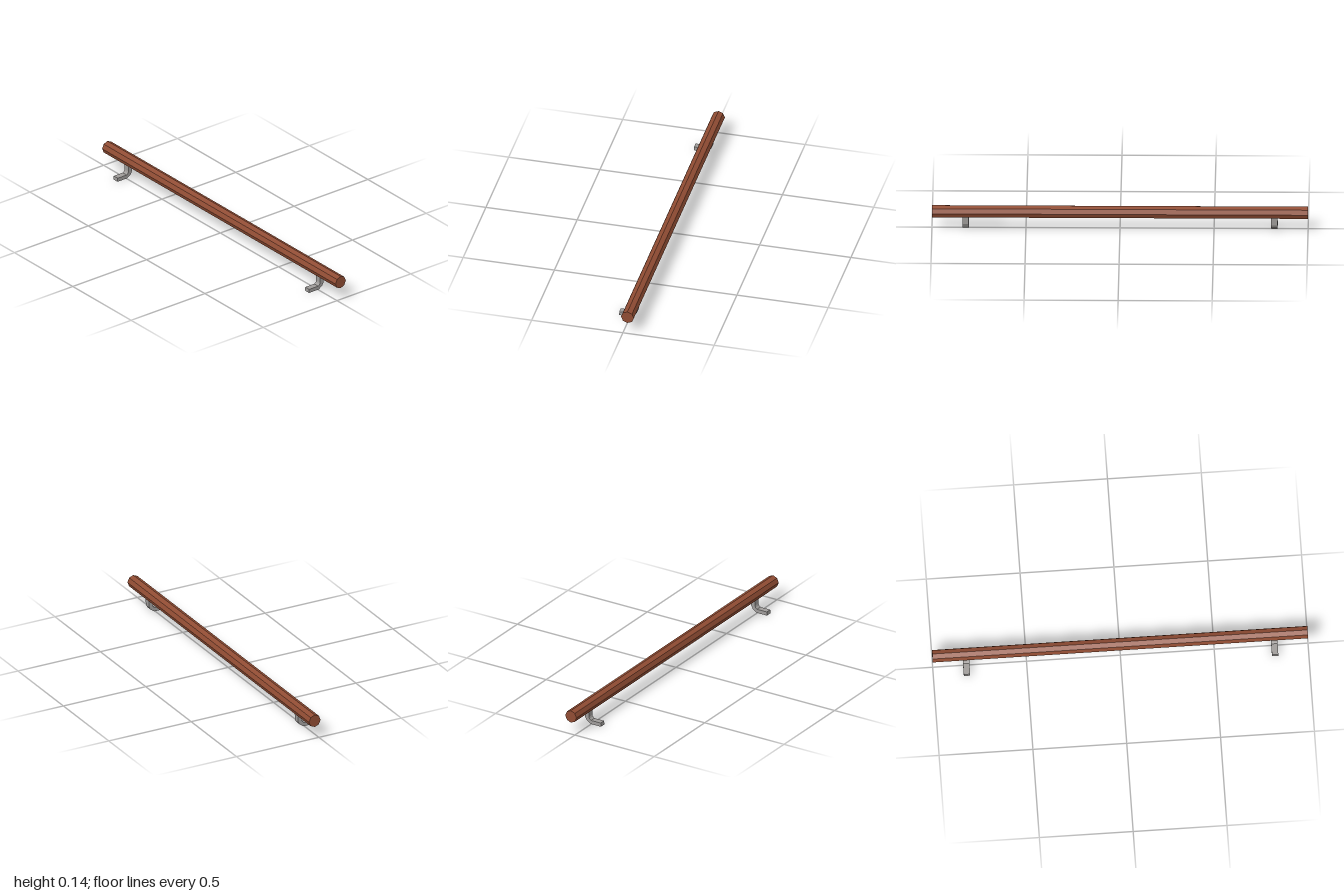
import * as THREE from 'three';

export function createModel() {
  const model = new THREE.Group();
  model.name = 'handrail';

  const wood = new THREE.MeshStandardMaterial({ color: 0x904c33 });
  wood.name = 'reddish wood';
  wood.flatShading = true;
  const metal = new THREE.MeshStandardMaterial({ color: 0x9f9c9a });
  metal.name = 'grey metal';
  metal.flatShading = true;

  // Octagonal rail running front to back, with corners at top, bottom and sides
  const railGeometry = new THREE.CylinderGeometry(0.035, 0.035, 2, 8);
  railGeometry.rotateX(Math.PI / 2);
  const rail = new THREE.Mesh(railGeometry, wood);
  rail.name = 'rail';
  rail.position.set(0.025, 0.102, 0);
  model.add(rail);

  // Bent wall bracket: horizontal arm, curved elbow, upright reaching into the rail
  const profile = new THREE.Shape([
    [-0.061, 0], [0.004, 0], [0.028, 0.016], [0.038, 0.034], [0.039, 0.085],
    [0.014, 0.085], [0.014, 0.038], [0.011, 0.029], [0.001, 0.021], [-0.06, 0.021],
  ].map(([x, y]) => new THREE.Vector2(x, y)));
  const width = 0.034;
  const bracketGeometry = new THREE.ExtrudeGeometry(profile, { depth: width, bevelEnabled: false });
  bracketGeometry.translate(0, 0, -width / 2);

  for (const [name, z] of [['frontBracket', 0.821], ['backBracket', -0.821]]) {
    const bracket = new THREE.Mesh(bracketGeometry, metal);
    bracket.name = name;
    bracket.position.z = z;
    model.add(bracket);
  }

  return model;
}
